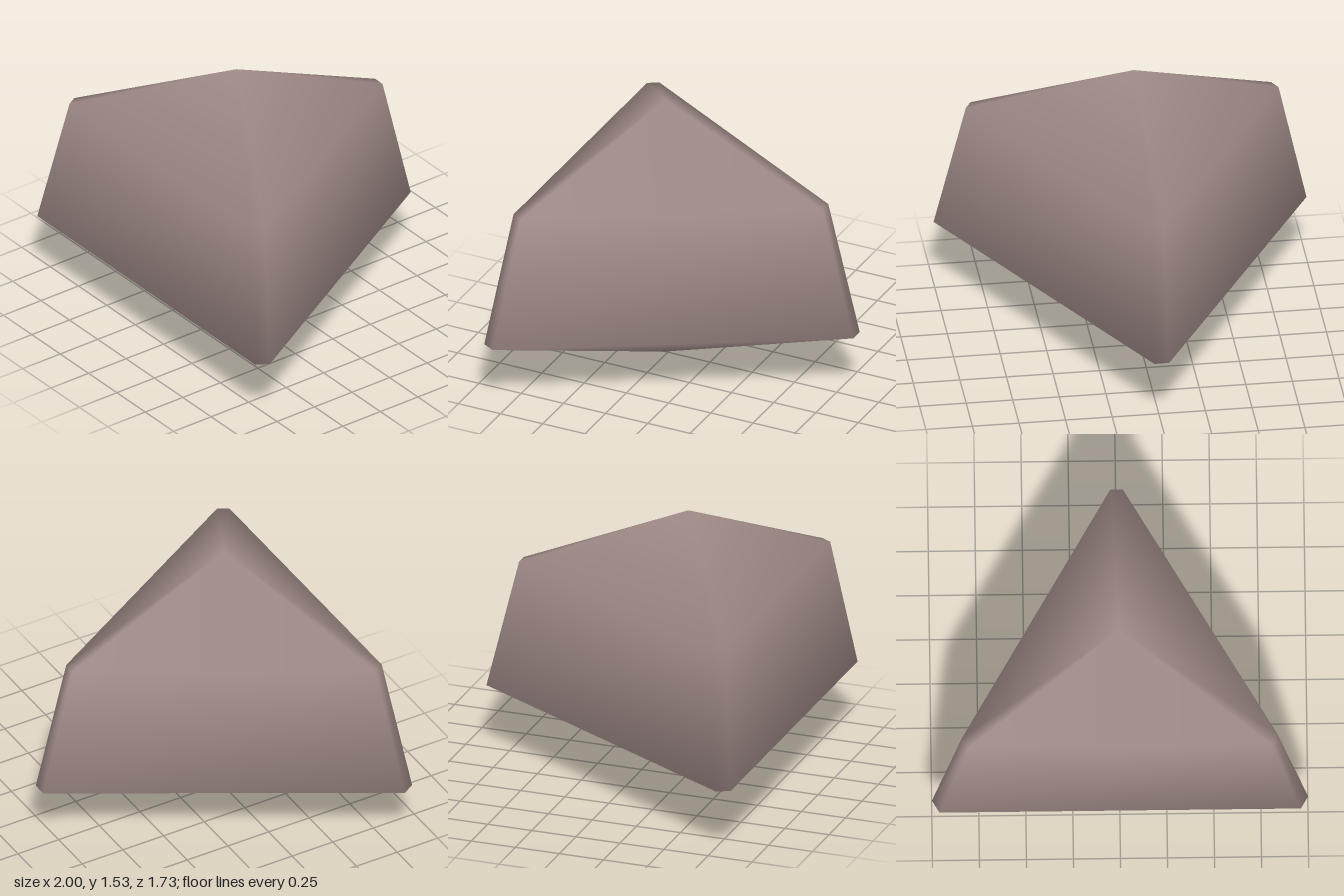
import * as THREE from 'three';

const CENTRE_Z = 0.265;

// Triangular rings with slightly cut corners, closed by a point above and below
function rockGeometry() {
  const rings = [{ y: 0.375, r: 1.133 }, { y: 1.11, r: 0.95 }];
  const angles = [];
  for (const corner of [60, 180, 300]) angles.push(corner - 2, corner + 2);
  const n = angles.length;

  const points = [];
  for (const { y, r } of rings) {
    for (const deg of angles) {
      const a = THREE.MathUtils.degToRad(deg);
      points.push(r * Math.sin(a), y, CENTRE_Z + r * Math.cos(a));
    }
  }
  points.push(0, 0, CENTRE_Z, 0, 1.53, CENTRE_Z);
  const bottom = 2 * n, top = 2 * n + 1;

  const faces = [];
  for (let i = 0; i < n; i++) {
    const j = (i + 1) % n;
    faces.push(j, i, bottom); // underside
    faces.push(i, j, n + j, i, n + j, n + i); // wall
    faces.push(n + i, n + j, top); // cap
  }

  const geometry = new THREE.BufferGeometry();
  geometry.setAttribute('position', new THREE.Float32BufferAttribute(points, 3));
  geometry.setIndex(faces);
  geometry.computeVertexNormals();
  return geometry;
}

export function createModel() {
  const group = new THREE.Group();
  group.name = 'rock';
  const stone = new THREE.MeshStandardMaterial({ color: 0xa08b88 });
  stone.name = 'warm grey stone';
  const boulder = new THREE.Mesh(rockGeometry(), stone);
  boulder.name = 'boulder';
  group.add(boulder);
  return group;
}
